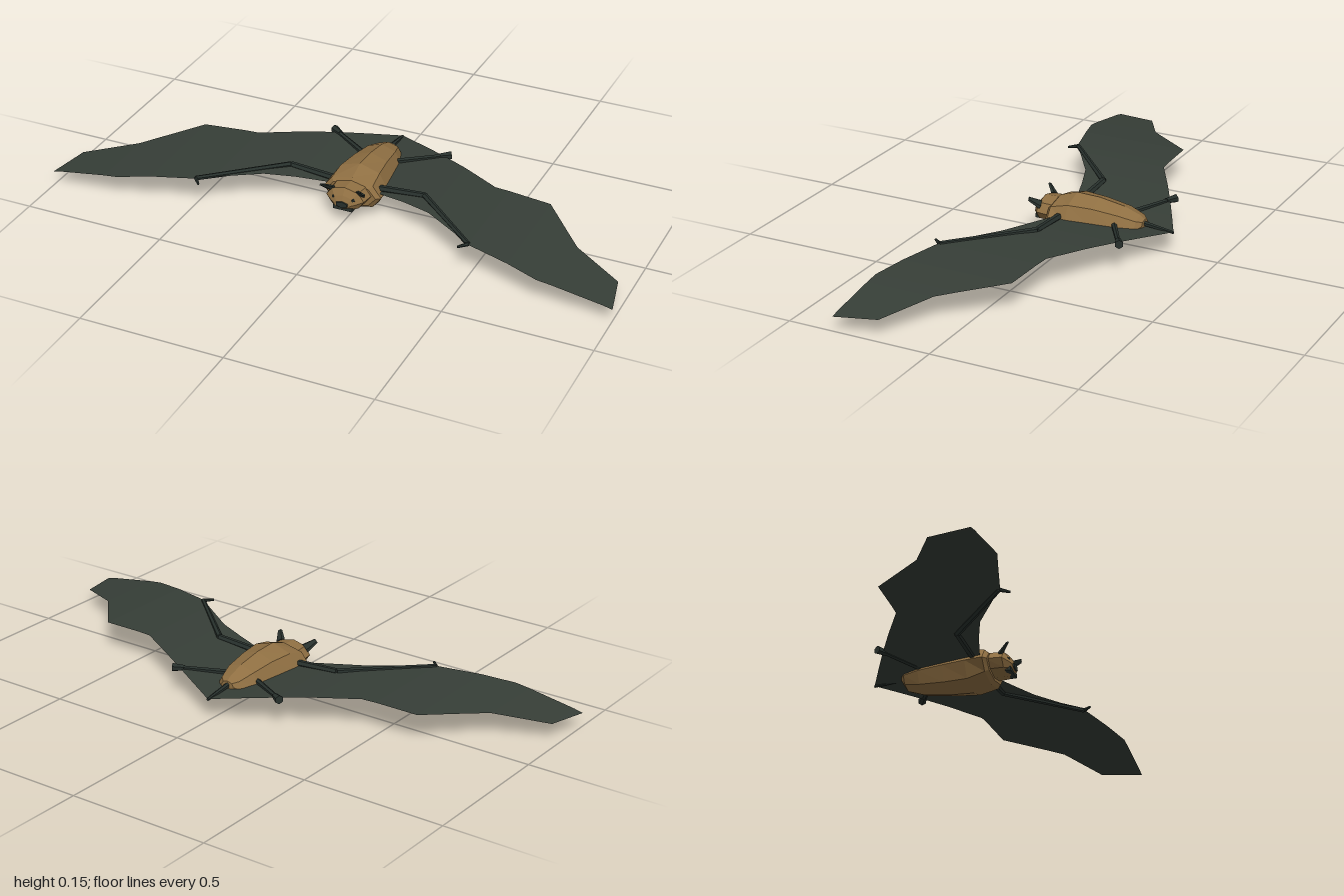
import * as THREE from 'three';

const mat = (name, color, extra = {}) =>
  new THREE.MeshStandardMaterial({ name, color, flatShading: true, ...extra });

// Faceted surface from rows of points; rows run along +z, columns towards +x on the top side
function skin(rows) {
  const pos = [];
  for (let i = 0; i < rows.length - 1; i++) {
    for (let j = 0; j < rows[i].length - 1; j++) {
      const a = rows[i][j], b = rows[i + 1][j], c = rows[i + 1][j + 1], d = rows[i][j + 1];
      pos.push(...a, ...b, ...d, ...b, ...c, ...d);
    }
  }
  const g = new THREE.BufferGeometry();
  g.setAttribute('position', new THREE.Float32BufferAttribute(pos, 3));
  g.computeVertexNormals();
  return g;
}

// Eight-sided body from rings of [z, centre y, half width, half height]
function loft(rings) {
  return skin(rings.map(([z, y, rx, ry]) => Array.from({ length: 9 }, (_, k) => {
    const a = (k / 8) * Math.PI * 2;
    return [Math.sin(a) * rx, y + Math.cos(a) * ry, z];
  })));
}

export function createModel() {
  const bat = new THREE.Group();
  bat.name = 'bat';
  const fur = mat('brown fur', 0x8f6f42);
  const membrane = mat('wing membrane', 0x363e37, { side: THREE.DoubleSide });
  const bone = mat('dark skin', 0x27302c);

  const add = (name, geo, material) => {
    const m = new THREE.Mesh(geo, material);
    m.name = name;
    bat.add(m);
    return m;
  };
  // Tapered limb segment between two points
  const limb = (name, a, b, r0, r1, sides = 6) => {
    const p = new THREE.Vector3(...a), q = new THREE.Vector3(...b);
    const d = q.clone().sub(p);
    const m = add(name, new THREE.CylinderGeometry(r1, r0, d.length(), sides), bone);
    m.position.copy(p).add(q).multiplyScalar(0.5);
    m.quaternion.setFromUnitVectors(new THREE.Vector3(0, 1, 0), d.normalize());
    return m;
  };

  // Body and head
  add('body', loft([
    [-0.237, 0.085, 0, 0], [-0.235, 0.085, 0.025, 0.018], [-0.218, 0.077, 0.05, 0.038],
    [-0.16, 0.077, 0.072, 0.059], [-0.07, 0.078, 0.086, 0.073], [0.015, 0.077, 0.1, 0.077],
    [0.078, 0.077, 0.105, 0.056], [0.09, 0.077, 0.09, 0.043], [0.09, 0.077, 0, 0],
  ]), fur);
  add('head', loft([
    [0.08, 0.084, 0.075, 0.041], [0.135, 0.084, 0.068, 0.04],
    [0.152, 0.077, 0.045, 0.026], [0.16, 0.073, 0.03, 0.013], [0.16, 0.073, 0, 0],
  ]), fur);

  // Nose and mouth
  const nose = add('nose', new THREE.CylinderGeometry(0.022, 0.03, 0.014, 6), bone);
  nose.scale.z = 0.5;
  nose.rotation.x = Math.PI / 2;
  nose.position.set(0, 0.073, 0.157);
  add('mouth', new THREE.BoxGeometry(0.07, 0.014, 0.02), bone).position.set(0, 0.056, 0.146);

  // Membrane stations: [x, y, front z, back z]
  const half = [
    [0.1, 0.088, 0.07, -0.288], [0.2, 0.098, 0.1, -0.235], [0.3, 0.105, 0.137, -0.18],
    [0.44, 0.108, 0.23, -0.1], [0.49, 0.108, 0.266, -0.096], [0.64, 0.102, 0.308, -0.085],
    [0.75, 0.09, 0.34, 0.043], [0.8, 0.084, 0.34, 0.1], [0.97, 0.057, 0.34, 0.195],
    [1, 0.05, 0.34, 0.335],
  ];
  const stations = [
    ...half.map(([x, ...r]) => [-x, ...r]).reverse(),
    [0, 0.077, 0.05, -0.34],
    ...half,
  ];
  const backRow = stations.map(([x, y, , b]) => [x, y, b]);
  const frontRow = stations.map(([x, y, f]) => [x, y, f]);
  add('wingMembrane', skin([backRow, frontRow]), membrane);

  // Tail
  limb('tail', [0, 0.09, -0.22], [0, 0.075, -0.34], 0.01, 0.005);

  for (const [side, s] of [['left', 1], ['right', -1]]) {
    // Arm, forearm and thumb
    limb(side + 'UpperArm', [s * 0.07, 0.09, 0.042], [s * 0.245, 0.103, 0.04], 0.013, 0.011);
    limb(side + 'Forearm', [s * 0.245, 0.103, 0.04], [s * 0.49, 0.108, 0.262], 0.011, 0.008);
    limb(side + 'Thumb', [s * 0.49, 0.108, 0.262], [s * 0.465, 0.107, 0.291], 0.007, 0.004);

    // Leg and foot
    limb(side + 'Leg', [s * 0.05, 0.088, -0.145], [s * 0.2, 0.099, -0.235], 0.01, 0.008);
    limb(side + 'Foot', [s * 0.187, 0.099, -0.228], [s * 0.22, 0.1, -0.248], 0.01, 0.015);

    // Ear, leaning forward and outward
    const ear = limb(side + 'Ear', [s * 0.052, 0.108, 0.128], [s * 0.076, 0.131, 0.159], 0.019, 0.009, 5);
    ear.scale.z = 0.4;

    // Eye
    const eye = add(side + 'Eye', new THREE.IcosahedronGeometry(0.009, 0), bone);
    eye.position.set(s * 0.034, 0.09, 0.146);
  }

  return bat;
}
